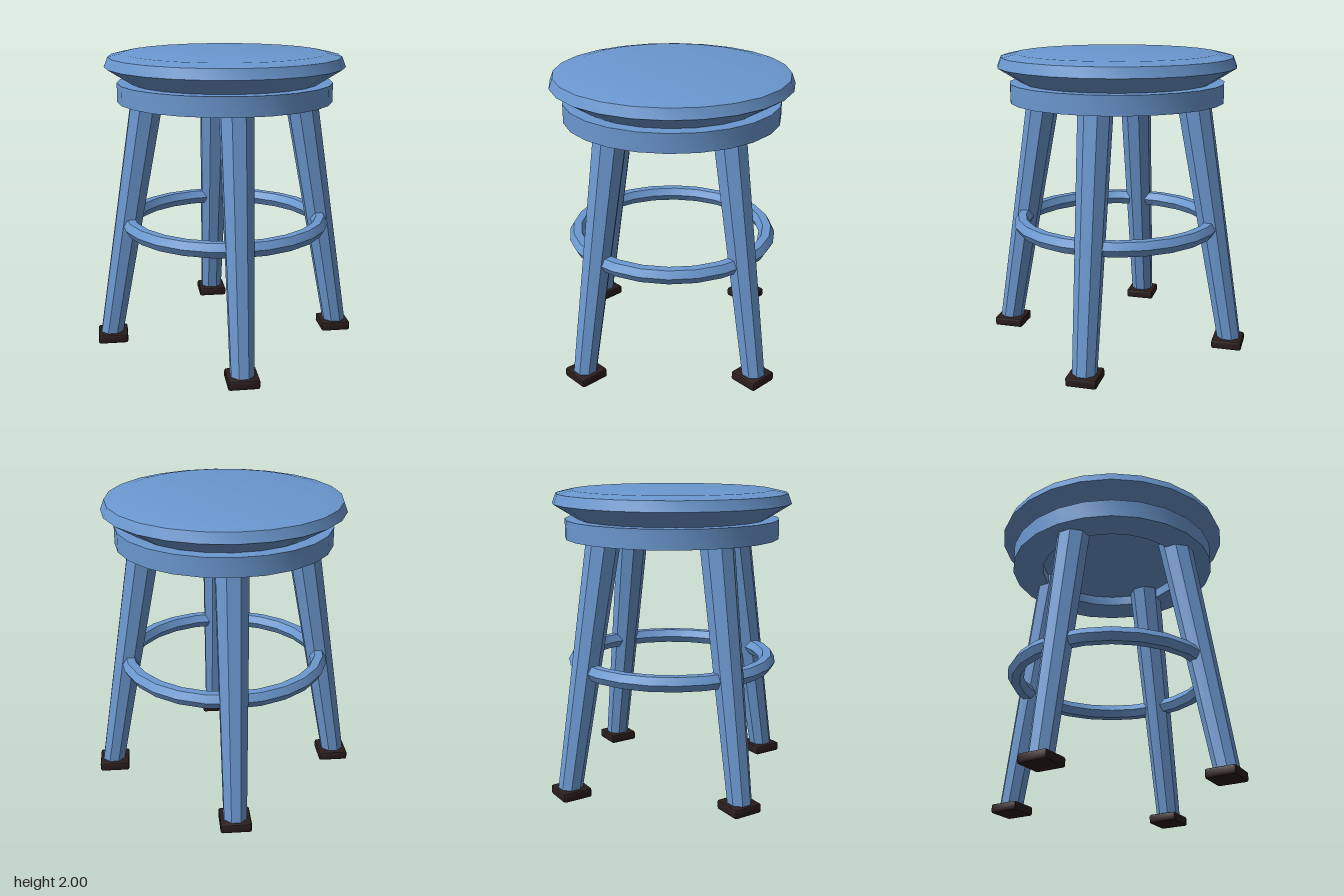
import * as THREE from 'three';
import { toCreasedNormals } from 'three/addons/utils/BufferGeometryUtils.js';
import { RoundedBoxGeometry } from 'three/addons/geometries/RoundedBoxGeometry.js';

const SIDES = 24;

export function createModel() {
  const model = new THREE.Group();
  model.name = 'stool';

  const paint = new THREE.MeshStandardMaterial({ color: 0x6b98d0 });
  paint.name = 'blue paint';
  const rubber = new THREE.MeshStandardMaterial({ color: 0x2a1d1c });
  rubber.name = 'dark rubber';

  const part = (name, geometry, material, parent = model) => {
    const mesh = new THREE.Mesh(toCreasedNormals(geometry, 0.5), material);
    mesh.name = name;
    parent.add(mesh);
    return mesh;
  };
  const lathe = (profile) =>
    new THREE.LatheGeometry(profile.map(([r, y]) => new THREE.Vector2(r, y)), SIDES);

  // Cushion-shaped seat with a gently domed top
  part('seat', lathe([
    [0, 1.8], [0.62, 1.8], [0.795, 1.91], [0.77, 1.975], [0.67, 1.997], [0, 2],
  ]), paint);

  // Apron under the seat, with a shallow recess below
  part('apron', lathe([
    [0, 1.75], [0.5, 1.75], [0.5, 1.68], [0.715, 1.68], [0.715, 1.805], [0, 1.805],
  ]), paint);

  // Foot ring with a six-sided section, running through the legs
  const ring = new THREE.TorusGeometry(0.657, 0.055, 6, SIDES);
  ring.rotateX(Math.PI / 2);
  part('footRing', ring, paint).position.y = 0.843;

  // Four splayed, tapered octagonal legs on rubber feet
  const bottom = new THREE.Vector3(0, 0.03, 0.806);
  const top = new THREE.Vector3(0, 1.78, 0.505);
  const axis = top.clone().sub(bottom);
  for (let i = 0; i < 4; i++) {
    const leg = new THREE.Group();
    leg.name = 'legAssembly';
    leg.rotation.y = Math.PI / 4 + (i * Math.PI) / 2;
    model.add(leg);

    const post = new THREE.CylinderGeometry(0.114, 0.08, axis.length(), 8);
    post.rotateY(Math.PI / 8);
    const mesh = part('leg', post, paint, leg);
    mesh.position.copy(bottom).add(top).multiplyScalar(0.5);
    mesh.rotation.x = Math.atan2(axis.z, axis.y);

    const foot = new RoundedBoxGeometry(0.204, 0.064, 0.204, 1, 0.014);
    part('foot', foot, rubber, leg).position.set(0, 0.032, 0.796);
  }
  return model;
}
